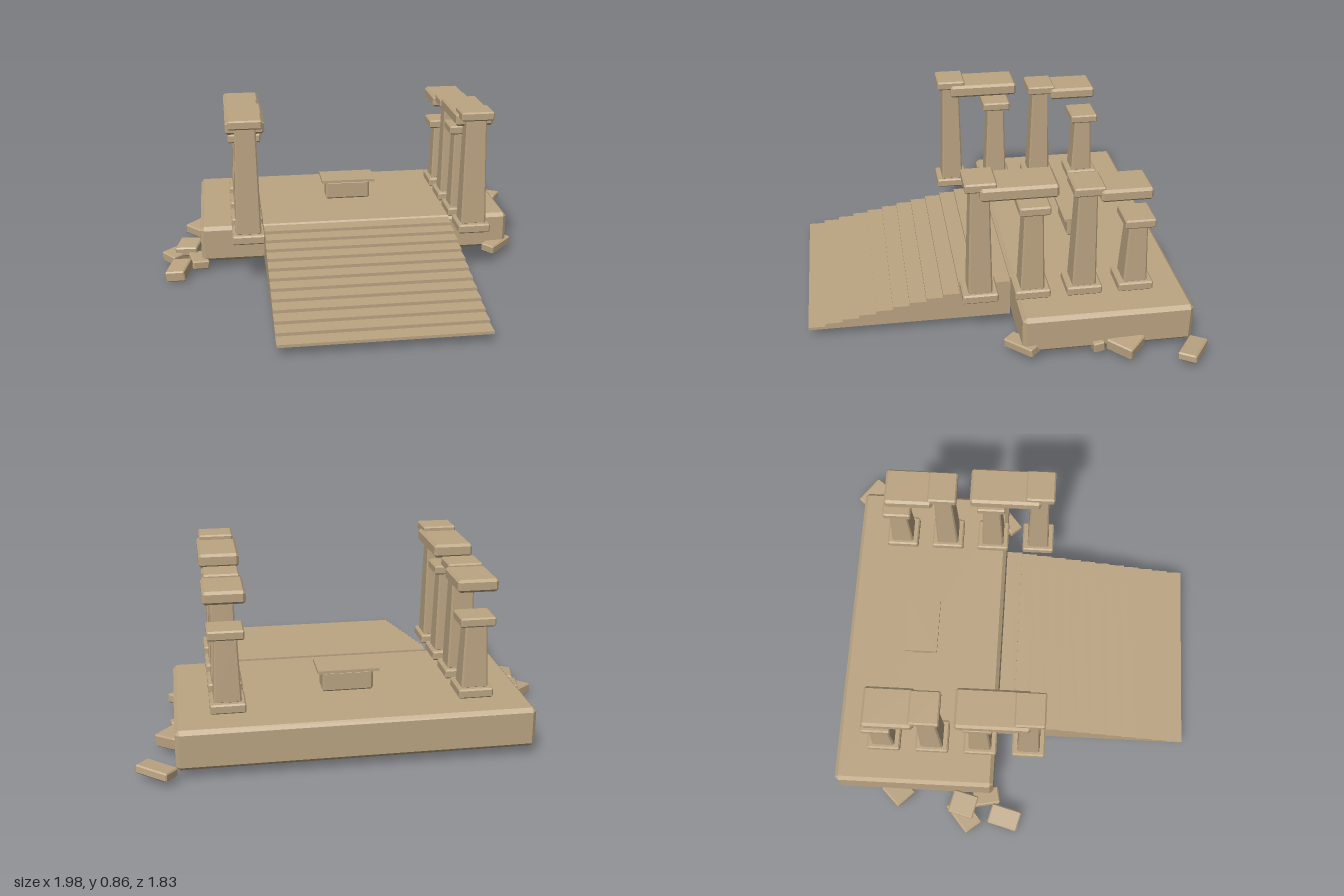
import * as THREE from 'three';
import { ConvexGeometry } from 'three/addons/geometries/ConvexGeometry.js';

const stone = new THREE.MeshStandardMaterial({ color: 0xbba482 });
stone.name = 'sandstone';

// Box with chamfered edges; taperX and taperZ scale the top end
function chamferBox(w, h, d, b, taperX = 1, taperZ = 1) {
  const points = [];
  const x = w / 2, y = h / 2, z = d / 2;
  for (const sx of [-1, 1]) for (const sy of [-1, 1]) for (const sz of [-1, 1]) {
    const corners = [[x, y - b, z - b], [x - b, y, z - b], [x - b, y - b, z]];
    for (const [px, py, pz] of corners) {
      const t = (sy * py) / h + 0.5;
      points.push(new THREE.Vector3(
        sx * px * (1 + (taperX - 1) * t), sy * py, sz * pz * (1 + (taperZ - 1) * t)));
    }
  }
  return new ConvexGeometry(points);
}

function add(parent, name, geometry, x, y, z) {
  const mesh = new THREE.Mesh(geometry, stone);
  mesh.name = name;
  mesh.position.set(x, y, z);
  parent.add(mesh);
  return mesh;
}

// Pillar with foot, tapered shaft and capital
function pillar(x, z, top) {
  const group = new THREE.Group();
  group.name = 'pillar';
  group.position.set(x, 0, z);
  const low = 0.275, high = top - 0.04;
  add(group, 'pillarFoot', chamferBox(0.16, 0.045, 0.165, 0.007), 0, 0.259, 0);
  add(group, 'pillarShaft', chamferBox(0.126, high - low, 0.113, 0.008, 0.8, 0.76), 0, (low + high) / 2, 0);
  add(group, 'pillarCapital', chamferBox(0.163, 0.044, 0.143, 0.007), 0, top - 0.022, 0);
  return group;
}

export function createModel() {
  const model = new THREE.Group();
  model.name = 'ruinedTemple';
  const temple = new THREE.Group();
  temple.name = 'temple';
  temple.position.x = 0.018;
  model.add(temple);

  // Platform
  add(temple, 'platform', chamferBox(1.605, 0.187, 0.797, 0.018), 0, 0.1435, -0.4535);

  // Stairs
  const steps = 12, depth = 0.0802, base = 0.05;
  for (let i = 0; i < steps; i++) {
    const h = 0.0157 * (i + 1) - 0.002;
    add(temple, 'step', new THREE.BoxGeometry(0.963, h, depth), 0, base + h / 2, 0.914 - depth * (i + 0.5));
  }

  // Colonnades with broken lintels on both sides
  const tops = [0.86, 0.724, 0.803, 0.62];
  for (const side of [-1, 1]) {
    const x = side * 0.5635;
    tops.forEach((top, i) => temple.add(pillar(x, 0.114 - 0.243 * i, top)));
    add(temple, 'frontLintel', chamferBox(0.188, 0.064, 0.35, 0.012), x, 0.806, -0.056);
    add(temple, 'backLintel', chamferBox(0.188, 0.06, 0.238, 0.012), x, 0.76, -0.54);
  }

  // Altar
  add(temple, 'altarBody', chamferBox(0.238, 0.1, 0.118, 0.01), 0, 0.285, -0.46);
  add(temple, 'altarSlab', new THREE.BoxGeometry(0.287, 0.014, 0.164), 0, 0.343, -0.46);

  // Fallen blocks: position, size, turn, tilt in x and z
  const rubble = [
    [0.903, 0.058, -0.832, 0.165, 0.04, 0.088, -0.64, 0.08, 0.04],
    [0.822, 0.068, -0.535, 0.135, 0.06, 0.125, 0.8, 0.1, -0.05],
    [0.768, 0.066, -0.062, 0.165, 0.045, 0.075, 0.73, 0.05, 0.08],
    [0.775, 0.066, -0.4, 0.13, 0.055, 0.055, 0.15, 0.1, -0.06],
    [-0.79, 0.05, -0.545, 0.13, 0.05, 0.115, 0.8, 0.08, 0.05],
    [-0.895, 0.045, -0.2, 0.17, 0.05, 0.1, 0.7, 0.06, 0.05],
    [-0.85, 0.08, -0.205, 0.115, 0.045, 0.13, -0.24, 0.08, 0.06],
    [-0.9, 0.041, 0.007, 0.1, 0.055, 0.155, -0.25, 0.06, 0.12],
    [-0.8, 0.048, -0.09, 0.085, 0.045, 0.13, 0.2, 0.05, -0.05],
  ];
  for (const [x, y, z, w, h, d, turn, tiltX, tiltZ] of rubble) {
    const block = add(model, 'fallenBlock', chamferBox(w, h, d, 0.006), x, y, z);
    block.rotation.set(tiltX, turn, tiltZ, 'YXZ');
  }
  return model;
}
